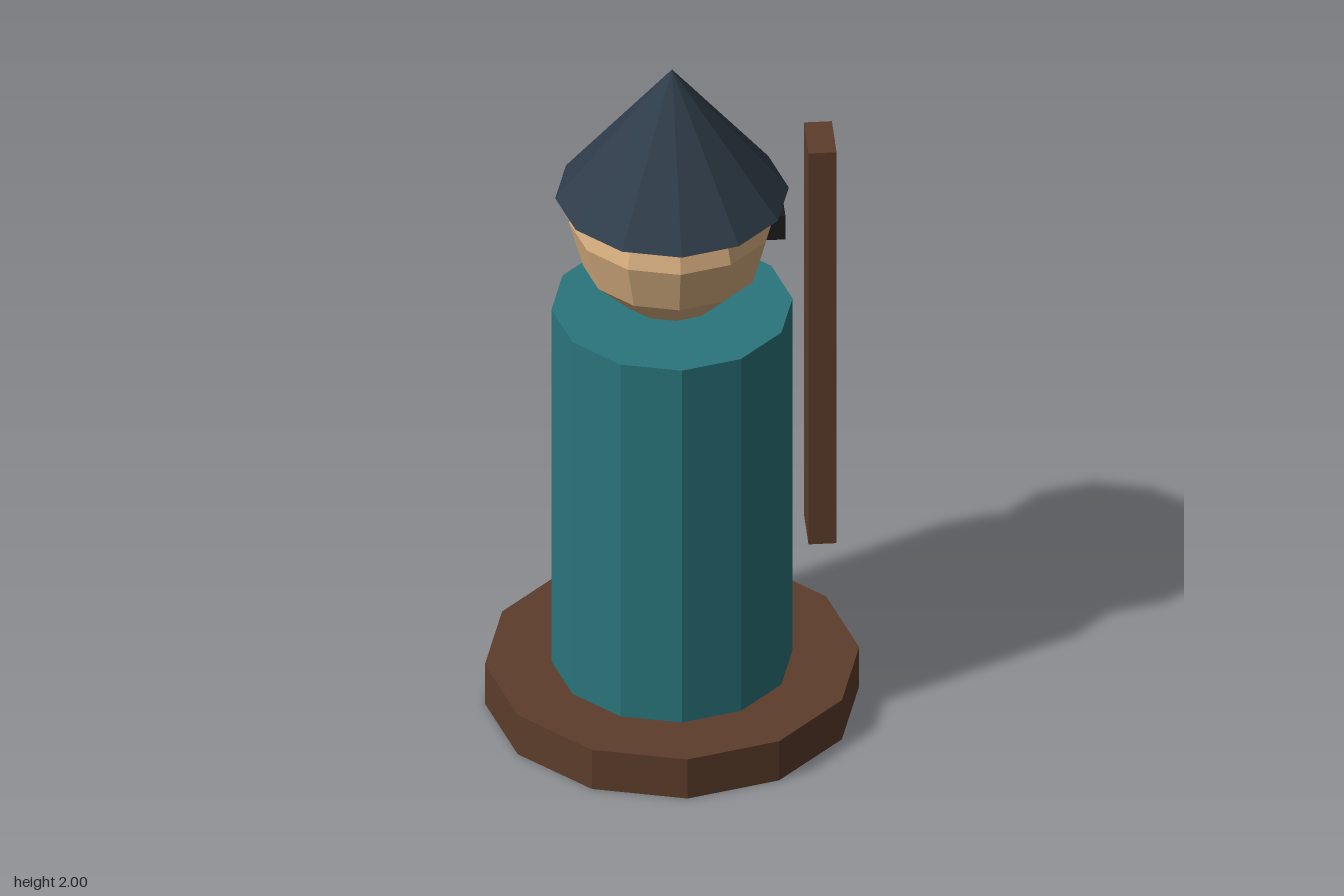
import * as THREE from 'three';

export function createModel() {
  const group = new THREE.Group();
  const material = (color) => new THREE.MeshStandardMaterial({ color, flatShading: true });
  const wood = material(0x5c3d2a);
  const robe = material(0x2a757c);
  const skin = material(0xd9b081);
  const felt = material(0x2f3c49);
  const black = material(0x1c1c1c);

  const add = (name, geometry, mat, x, y, z) => {
    const mesh = new THREE.Mesh(geometry, mat);
    mesh.name = name;
    mesh.position.set(x, y, z);
    group.add(mesh);
  };

  const sides = 12;
  // Round plinth and robed body
  add('base', new THREE.CylinderGeometry(0.5, 0.5, 0.125, sides), wood, 0, 0.0625, 0);
  add('body', new THREE.CylinderGeometry(0.322, 0.322, 1.125, sides), robe, 0, 0.6875, 0);

  // Faceted head under a pointed hat, with one small eye on the side
  add('head', new THREE.SphereGeometry(0.275, sides, 6), skin, 0, 1.525, 0);
  add('hat', new THREE.ConeGeometry(0.312, 0.395, sides), felt, 0, 1.8025, 0);
  add('eye', new THREE.BoxGeometry(0.075, 0.075, 0.075), black, 0.2625, 1.5025, 0);

  // Upright plank floating beside the back
  add('plank', new THREE.BoxGeometry(0.075, 1.25, 0.15), wood, 0.4125, 1.0025, -0.2);

  return group;
}
